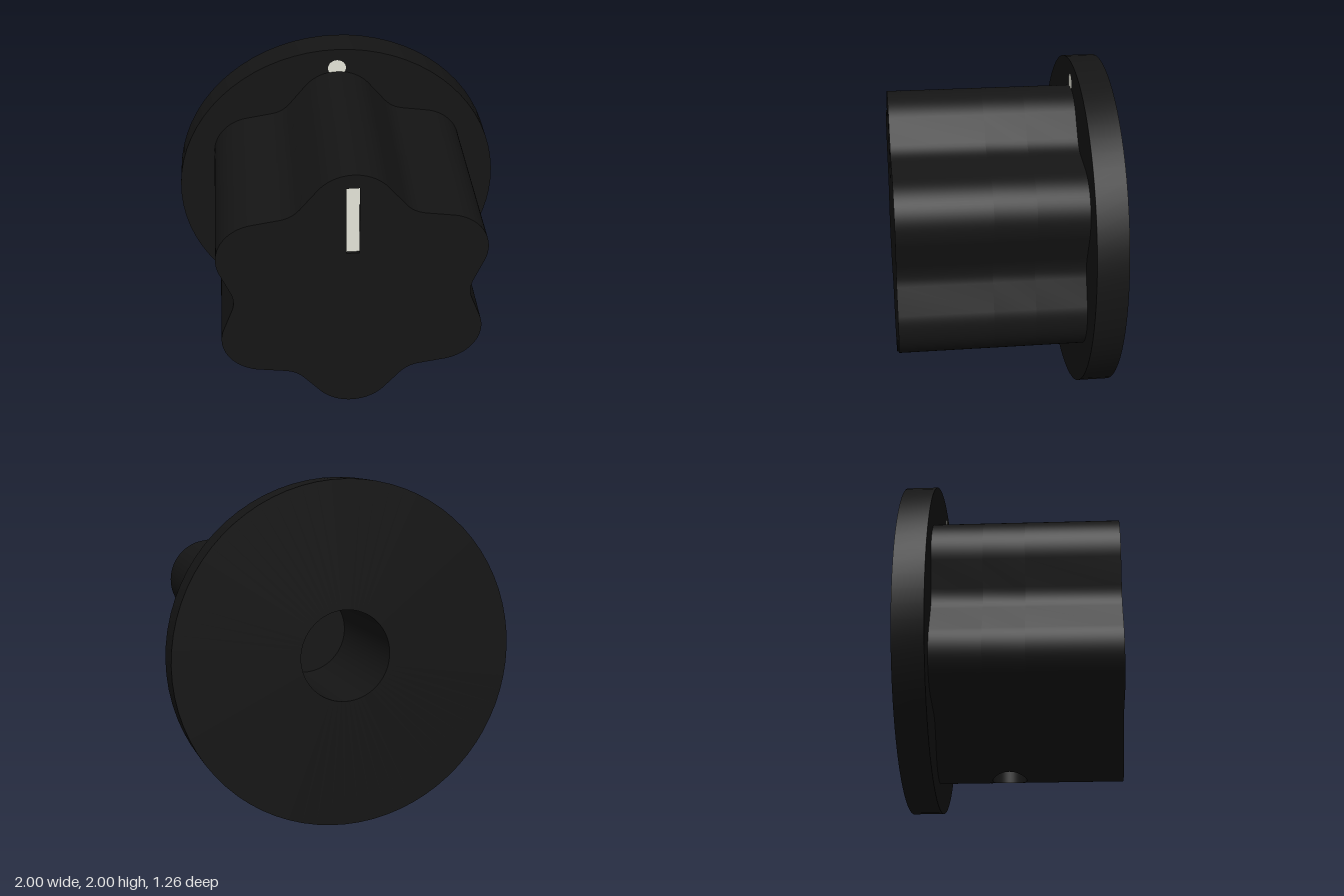
import * as THREE from 'three';
import { toCreasedNormals } from 'three/addons/utils/BufferGeometryUtils.js';

const LOBES = 6, CENTRE = 0.6, LOBE_R = 0.25, ARC = 0.86, STEPS = 12;
const BACK = -0.63, RIM = -0.45, FRONT = 0.63;
const BORE_R = 0.265, SCREW_R = 0.1, SCREW_Z = -0.035;
const OPEN = 7; // arc steps on each side of the screw hole
const HALF = LOBE_R * Math.sin((ARC * OPEN) / STEPS);

// Wavy outline, counter-clockwise, starting with the bottom lobe
function knobOutline() {
  const pts = [];
  const origin = new THREE.Vector2();
  for (let k = 0; k < LOBES; k++) {
    const turn = -Math.PI / 2 + (k * Math.PI * 2) / LOBES;
    for (let i = -STEPS; i <= STEPS; i++) {
      const a = (ARC * i) / STEPS;
      const p = new THREE.Vector2(CENTRE + LOBE_R * Math.cos(a), LOBE_R * Math.sin(a));
      pts.push(p.rotateAround(origin, turn));
    }
    // small rounded valley before the next lobe
    const end = pts[pts.length - 1];
    const half = turn + Math.PI / LOBES;
    const valley = new THREE.Vector2(0.672 * Math.cos(half), 0.672 * Math.sin(half));
    const next = new THREE.Vector2(CENTRE + LOBE_R * Math.cos(ARC), -LOBE_R * Math.sin(ARC))
      .rotateAround(origin, turn + (Math.PI * 2) / LOBES);
    const fillet = new THREE.QuadraticBezierCurve(
      valley.clone().lerp(end, 0.3), valley, valley.clone().lerp(next, 0.3));
    pts.push(...fillet.getPoints(6));
  }
  return pts;
}

// Wall along z over a row of points, facing right of the direction of travel
function wall(points, z0, z1, closed = true) {
  const pos = [], index = [];
  const row = closed ? [...points, points[0]] : points;
  row.forEach((p, i) => {
    pos.push(p.x, p.y, z0, p.x, p.y, z1);
    if (i) {
      const a = 2 * i - 2;
      index.push(a, a + 2, a + 3, a, a + 3, a + 1);
    }
  });
  const g = new THREE.BufferGeometry();
  g.setAttribute('position', new THREE.Float32BufferAttribute(pos, 3));
  g.setIndex(index);
  return toCreasedNormals(g, 0.5);
}

const lobeBottom = (x) => -CENTRE - Math.sqrt(LOBE_R ** 2 - x ** 2);

// Patch of the bottom lobe with the round hole in it
function holePatch() {
  const g = new THREE.RingGeometry(SCREW_R, HALF, 48, 3).rotateX(Math.PI / 2);
  const p = g.attributes.position;
  for (let i = 0; i < p.count; i++) {
    const x = p.getX(i), z = p.getZ(i), rho = Math.hypot(x, z);
    const c = x / rho, s = z / rho;
    const edge = HALF / Math.max(Math.abs(c), Math.abs(s));
    const r = THREE.MathUtils.mapLinear(rho, SCREW_R, HALF, SCREW_R, edge);
    p.setXYZ(i, r * c, lobeBottom(r * c), SCREW_Z + r * s);
  }
  g.computeVertexNormals();
  return g;
}

// Screw hole wall, trimmed to the lobe below and the bore above
function screwHole() {
  const g = new THREE.CylinderGeometry(SCREW_R, SCREW_R, 1, 48, 1, true);
  const p = g.attributes.position;
  for (let i = 0; i < p.count; i++) {
    const x = p.getX(i);
    p.setY(i, p.getY(i) < 0 ? lobeBottom(x) : -Math.sqrt(BORE_R ** 2 - x ** 2));
  }
  return g.translate(0, 0, SCREW_Z);
}

export function createModel() {
  const model = new THREE.Group();
  model.name = 'controlKnob';
  const black = new THREE.MeshStandardMaterial({ color: 0x151515 });
  const blackInside = new THREE.MeshStandardMaterial({ color: 0x151515, side: THREE.DoubleSide });
  const white = new THREE.MeshStandardMaterial({ color: 0xe4e4d8 });
  const add = (name, geometry, material = black) => {
    const mesh = new THREE.Mesh(geometry, material);
    mesh.name = name;
    mesh.position.y = 1;
    model.add(mesh);
    return mesh;
  };

  // Round base flange with the blind shaft bore
  const profile = [[0, 0.2], [BORE_R, 0.2], [BORE_R, BACK], [1, BACK], [1, RIM], [0, RIM]]
    .map(([r, z]) => new THREE.Vector2(r, z));
  const flange = new THREE.LatheGeometry(profile, 72).rotateX(Math.PI / 2);
  add('flangeAndBore', toCreasedNormals(flange, 0.5));

  // Six-lobed grip, left open around the screw hole
  const outline = knobOutline();
  add('gripBack', wall(outline, RIM, SCREW_Z - HALF));
  add('gripFront', wall(outline, SCREW_Z + HALF, FRONT));
  const around = [...outline.slice(STEPS + OPEN), ...outline.slice(0, STEPS - OPEN + 1)];
  add('gripMiddle', wall(around, SCREW_Z - HALF, SCREW_Z + HALF, false));
  add('screwHoleSurround', holePatch());
  add('screwHole', screwHole(), blackInside);

  // Front face with the recess for the pointer line
  const w = 0.037, y0 = 0.315, y1 = 0.762, depth = 0.015;
  const slot = [[-w, y0], [-w, y1], [w, y1], [w, y0]].map(([x, y]) => new THREE.Vector2(x, y));
  const face = new THREE.Shape(outline);
  face.holes.push(new THREE.Path(slot));
  add('frontFace', new THREE.ShapeGeometry(face).translate(0, 0, FRONT));
  add('pointerRecess', wall(slot, FRONT - depth, FRONT));

  // Pale pointer line and index dot
  add('pointerLine', new THREE.PlaneGeometry(2 * w, y1 - y0)
    .translate(0, (y0 + y1) / 2, FRONT - depth), white);
  add('indexDot', new THREE.CircleGeometry(0.054, 32).translate(0, 0.875, RIM + 0.003), white);

  return model;
}
